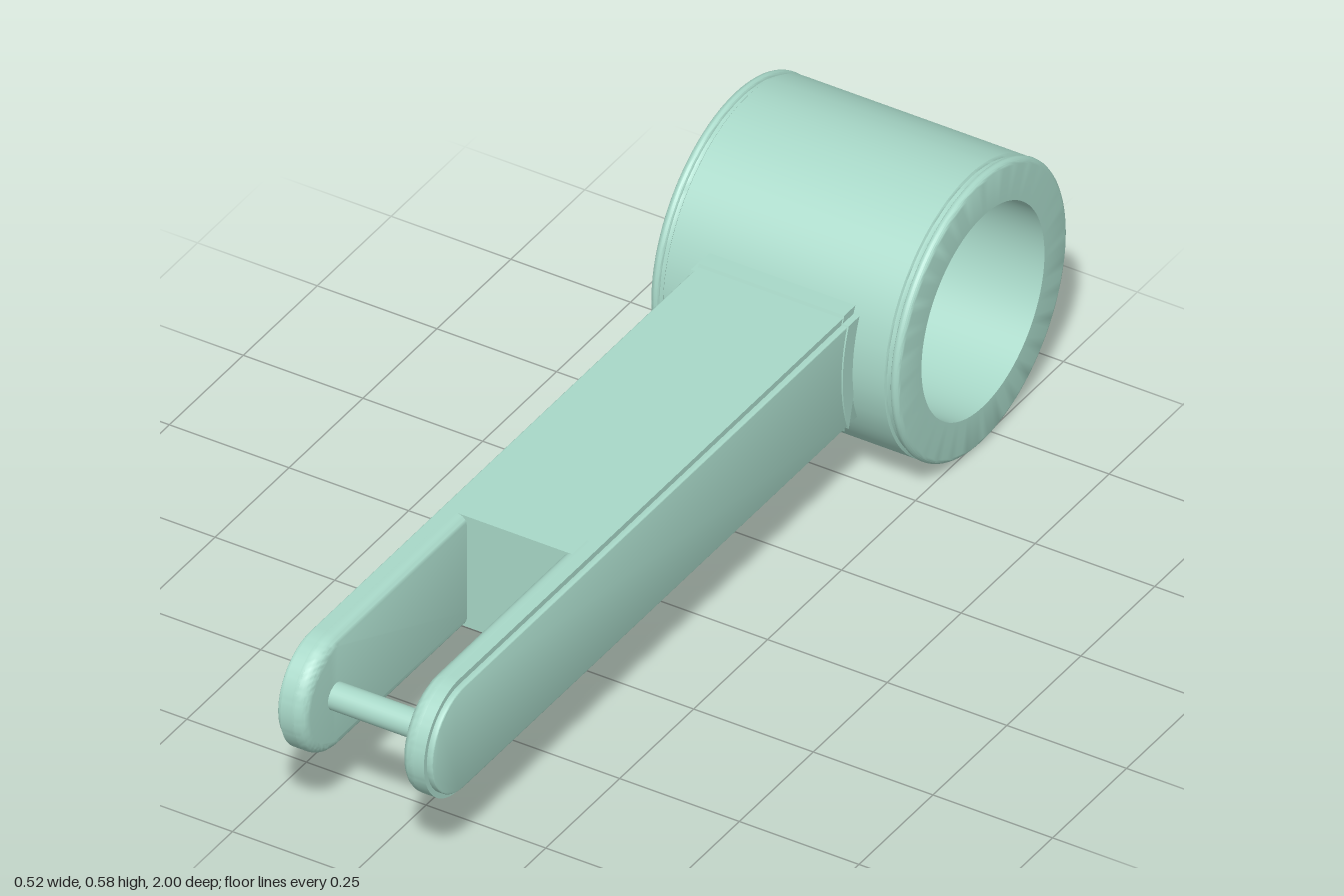
import * as THREE from 'three';
import { toCreasedNormals } from 'three/addons/utils/BufferGeometryUtils.js';

const material = new THREE.MeshStandardMaterial({ color: 0xa8d8c8 });
const CY = 0.29;                     // height of the arm's centre line
const RING = { z: -0.712, y: 0.288, outer: 0.288, inner: 0.208 };

// Extrudes a side profile (shape x = z, shape y = y) across the model from x0 to x1
function slab(shape, x0, x1, bevel = 0) {
  const geo = new THREE.ExtrudeGeometry(shape, {
    depth: x1 - x0 - 2 * bevel, curveSegments: 24,
    bevelEnabled: bevel > 0, bevelSize: bevel, bevelOffset: -bevel,
    bevelThickness: bevel, bevelSegments: 5,
  });
  geo.rotateY(-Math.PI / 2).translate(x1 - bevel, 0, 0);
  return toCreasedNormals(geo, 0.6);
}

// Bar profile, square at the back and half-round at the front
function tongue(z0, z1, r) {
  const s = new THREE.Shape();
  s.moveTo(z0, CY - r);
  s.lineTo(z1 - r, CY - r);
  s.absarc(z1 - r, CY, r, -Math.PI / 2, Math.PI / 2, false);
  s.lineTo(z0, CY + r);
  s.closePath();
  return s;
}

function block(z0, z1, r) {
  return new THREE.Shape([[z0, CY - r], [z1, CY - r], [z1, CY + r], [z0, CY + r]]
    .map(([z, y]) => new THREE.Vector2(z, y)));
}

// Collar profile whose front edge is concentric with the ring
function collar(r) {
  const s = new THREE.Shape(), a = Math.asin(r / 0.32);
  s.moveTo(-0.47, CY - r);
  s.absarc(RING.z, CY, 0.32, -a, a, false);
  s.lineTo(-0.47, CY + r);
  s.closePath();
  return s;
}

// Closed ring section: bore, rounded end rims and a shallow groove beside each rim
function ringGeometry() {
  const { outer: R, inner } = RING;
  const half = [[R - 0.001, 0.231], [R - 0.002, 0.232], [R - 0.007, 0.233], [R - 0.007, 0.242]];
  for (let i = 0; i <= 4; i++) {
    const a = (i / 4) * Math.PI / 2;
    half.push([R - 0.007 + 0.007 * Math.sin(a), 0.249 - 0.007 * Math.cos(a)]);
  }
  for (let i = 0; i <= 5; i++) {
    const a = (i / 5) * Math.PI / 2;
    half.push([R - 0.011 + 0.011 * Math.cos(a), 0.249 + 0.011 * Math.sin(a)]);
  }
  half.push([inner, 0.26]);
  const lower = half.map(([r, x]) => [r, -x]).reverse();
  const points = [...lower, ...half, lower[0]].map(([r, x]) => new THREE.Vector2(r, x));
  const geo = new THREE.LatheGeometry(points, 96);
  geo.rotateZ(-Math.PI / 2);
  return toCreasedNormals(geo, 0.6);
}

export function createModel() {
  const model = new THREE.Group();
  model.name = 'rodArm';
  const add = (name, geo, parent = model) => {
    const mesh = new THREE.Mesh(geo, material);
    mesh.name = name;
    parent.add(mesh);
    return mesh;
  };

  // Bearing ring
  add('ring', ringGeometry()).position.set(0, RING.y, RING.z);

  // Solid part of the arm
  add('armBody', slab(block(-0.46, 0.45, 0.1205), -0.15, 0.15));

  // Collar where the arm meets the ring
  add('collar', slab(collar(0.1265), -0.152, 0.152));
  add('collarSides', slab(collar(0.112), -0.165, 0.165));

  // Fork prongs with rounded inner edges, and raised side plates
  for (const side of [-1, 1]) {
    const half = new THREE.Group();
    half.name = side > 0 ? 'leftFork' : 'rightFork';
    const place = (name, shape, a, b, bevel) =>
      add(name, slab(shape, Math.min(side * a, side * b), Math.max(side * a, side * b), bevel), half);
    place('prongInner', tongue(0.4, 1, 0.1205), 0.1, 0.149, 0.02);
    place('prongOuter', tongue(0.4, 1, 0.1205), 0.122, 0.15, 0);
    place('sidePlate', tongue(-0.46, 0.99, 0.109), 0.145, 0.162, 0.003);
    model.add(half);
  }

  // Cross pin between the prongs
  const pin = new THREE.CylinderGeometry(0.027, 0.027, 0.24, 32);
  add('pin', pin.rotateZ(Math.PI / 2)).position.set(0, 0.288, 0.893);

  return model;
}
